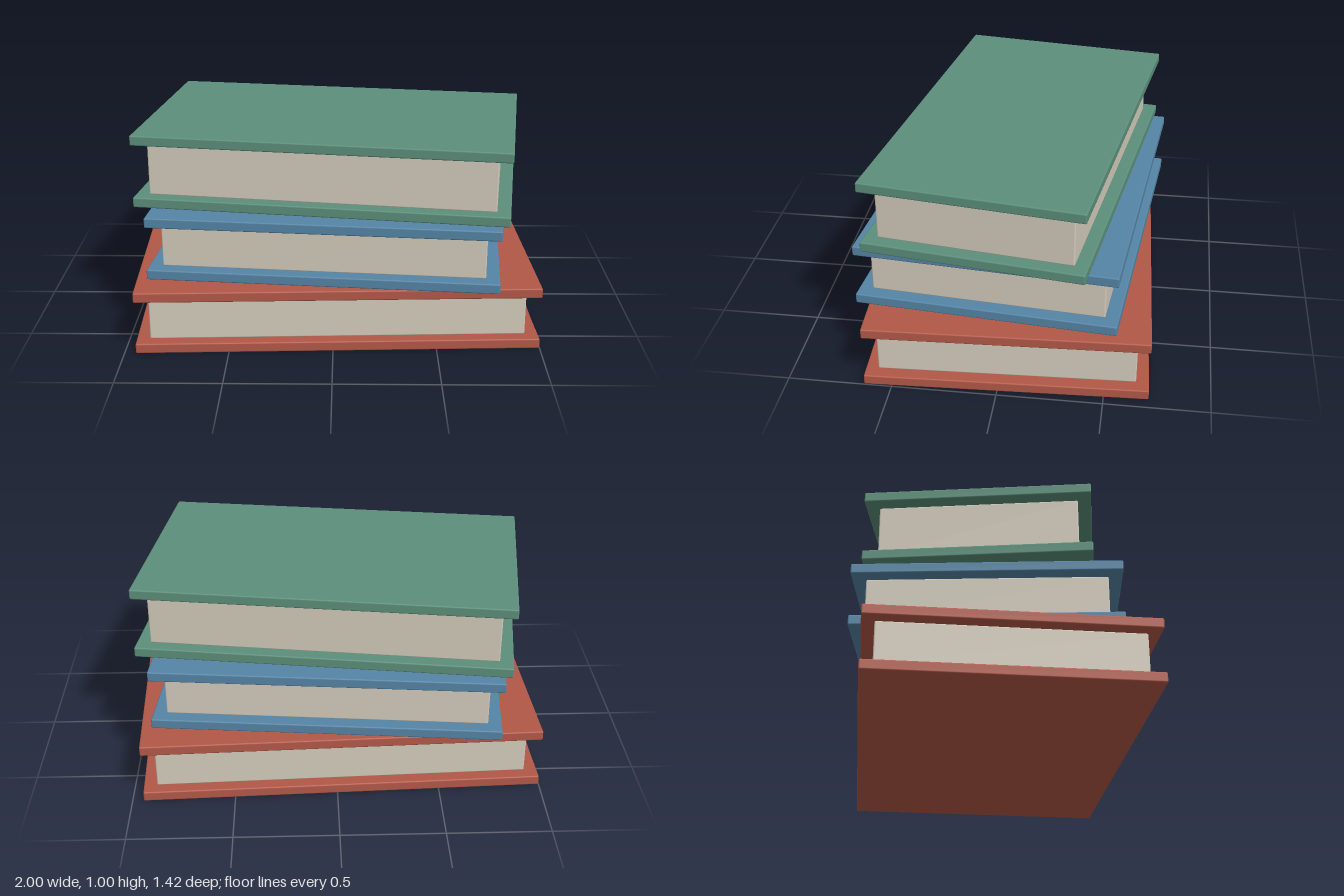
import * as THREE from 'three';
import { RoundedBoxGeometry } from 'three/addons/geometries/RoundedBoxGeometry.js';

function material(name, color) {
  const m = new THREE.MeshStandardMaterial({ color });
  m.name = name;
  return m;
}

const COVER = 0.05; // board thickness

export function createModel() {
  const model = new THREE.Group();
  model.name = 'bookStack';
  const paper = material('paper', 0xd3ccbc);

  // a box with slightly softened edges, standing on height y
  function slab(name, w, h, d, y, mat) {
    const mesh = new THREE.Mesh(new RoundedBoxGeometry(w, h, d, 2, 0.007), mat);
    mesh.position.y = y + h / 2;
    mesh.name = name;
    return mesh;
  }

  // cover and page sizes are [width, depth]
  const books = [
    { name: 'bottomBook', mat: material('red', 0xb25847), y: 0, height: 0.315, turn: 0.04, cover: [1.946, 1.345], pages: [1.817, 1.225] },
    { name: 'middleBook', mat: material('blue', 0x5585a6), y: 0.316, height: 0.316, turn: -0.092, cover: [1.695, 1.257], pages: [1.562, 1.127] },
    { name: 'topBook', mat: material('green', 0x5c907b), y: 0.633, height: 0.363, turn: -0.14, cover: [1.818, 1.065], pages: [1.686, 0.939] },
  ];

  for (const { name, mat, y, height, turn, cover, pages } of books) {
    const book = new THREE.Group();
    book.name = name;
    book.position.y = y;
    book.rotation.y = turn;
    book.add(
      slab('lowerCover', cover[0], COVER, cover[1], 0, mat),
      slab('pageBlock', pages[0], height - 2 * COVER + 0.004, pages[1], COVER - 0.002, paper),
      slab('upperCover', cover[0], COVER, cover[1], height - COVER, mat),
    );
    model.add(book);
  }
  return model;
}
